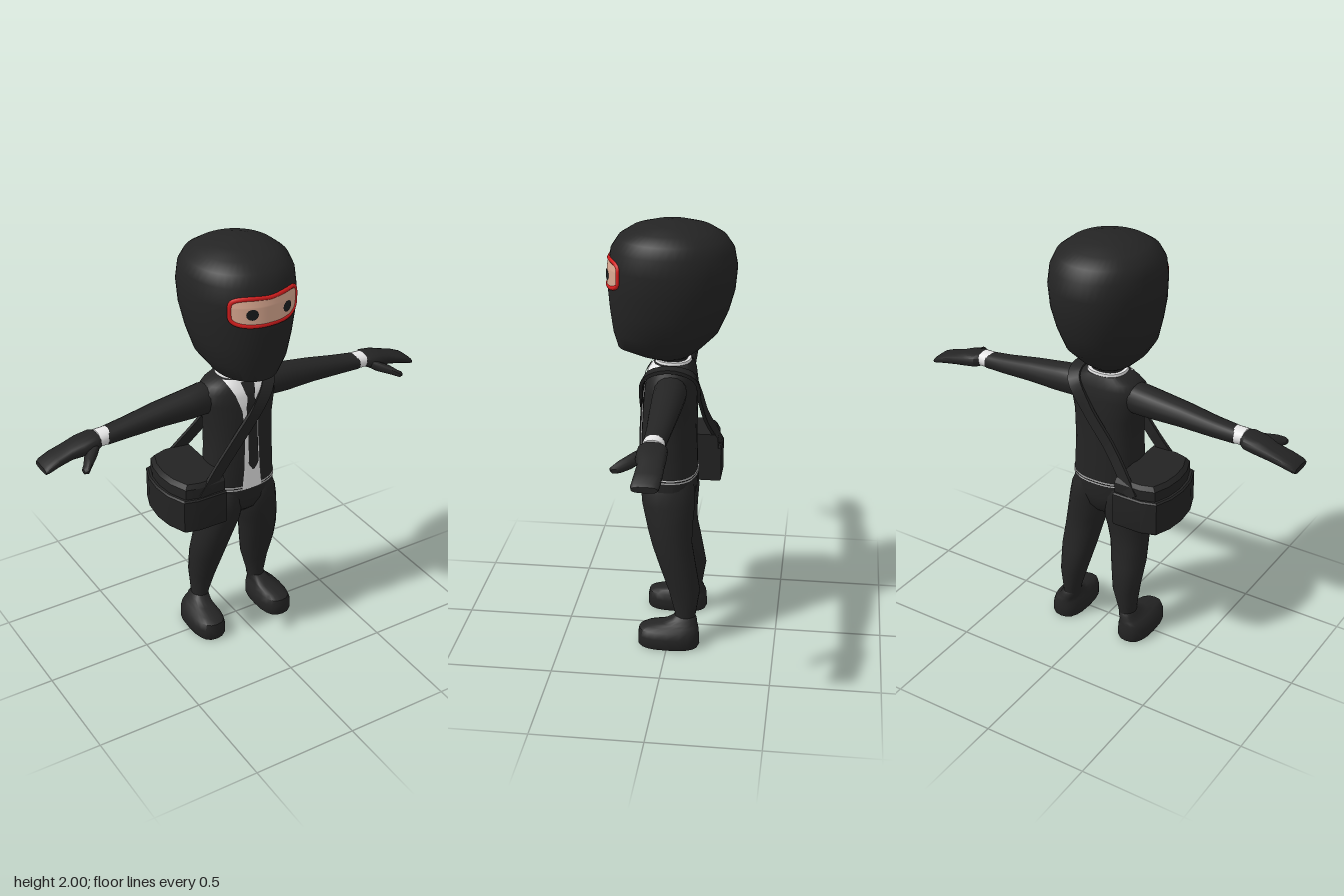
import * as THREE from 'three';
import { toCreasedNormals } from 'three/addons/utils/BufferGeometryUtils.js';

const mat = (name, color) => Object.assign(new THREE.MeshStandardMaterial({ color }), { name });
const V = (x, y, z) => new THREE.Vector3(x, y, z);
const lerp = THREE.MathUtils.lerp;

// Closed skin through a list of equal-length rings, with fan caps; side -1 mirrors it.
function skin(rings, side = 1, crease = 0.75) {
  const n = rings[0].length, pos = [], idx = [];
  const tri = (a, b, c) => (side > 0 ? idx.push(a, b, c) : idx.push(a, c, b));
  const put = p => pos.push(p.x * side, p.y, p.z);
  rings.forEach(r => r.forEach(put));
  for (let i = 0; i < rings.length - 1; i++) for (let j = 0; j < n; j++) {
    const a = i * n + j, b = i * n + (j + 1) % n;
    tri(a, a + n, b);
    tri(b, a + n, b + n);
  }
  [0, rings.length - 1].forEach((r, end) => {
    const c = rings.length * n + end;
    put(rings[r].reduce((s, p) => s.add(p), V(0, 0, 0)).divideScalar(n));
    for (let j = 0; j < n; j++) {
      const a = r * n + j, b = r * n + (j + 1) % n;
      end ? tri(a, c, b) : tri(a, b, c);
    }
  });
  const g = new THREE.BufferGeometry();
  g.setAttribute('position', new THREE.Float32BufferAttribute(pos, 3));
  g.setIndex(idx);
  return toCreasedNormals(g, crease);
}

const pw = (v, e) => Math.sign(v) * Math.abs(v) ** (2 / e);
function outline(count, e, place) {
  return Array.from({ length: count }, (_, j) => {
    const t = j / count * Math.PI * 2;
    return place(pw(Math.cos(t), e), pw(Math.sin(t), e));
  });
}
// Upright sections: [y, centre x, half width, front z, back z]
const loftY = (secs, e = 2.3, side = 1, count = 32) => skin(secs.map(([y, x, a, f, b]) =>
  outline(count, e, (c, s) => V(x + a * c, y, (f + b) / 2 + (f - b) / 2 * s))), side);
// Sideways sections: [x, centre y, half height, front z, back z]
const loftX = (secs, e = 2.2, side = 1, count = 16) => skin(secs.map(([x, y, h, f, b]) =>
  outline(count, e, (c, s) => V(x, y + h * c, (f + b) / 2 - (f - b) / 2 * s))), side);

// Value of a table of rows at y, interpolated
function rowAt(rows, y) {
  let i = 0;
  while (i < rows.length - 2 && y > rows[i + 1][0]) i++;
  const t = THREE.MathUtils.clamp((y - rows[i][0]) / (rows[i + 1][0] - rows[i][0]), 0, 1);
  return rows[i].map((v, k) => lerp(v, rows[i + 1][k], t));
}
// Front surface of an upright loft
function frontZ(secs, e, x, y) {
  const [, cx, a, f, b] = rowAt(secs, y);
  const u = Math.min(1, Math.abs((x - cx) / a));
  return (f + b) / 2 + (f - b) / 2 * (1 - u ** e) ** (1 / e);
}
// Thin sheet lying on a front surface, with half width given by y
function patch(secs, e, y0, y1, half, off, cx = 0) {
  const g = new THREE.PlaneGeometry(1, 1, 24, 36), p = g.attributes.position;
  for (let i = 0; i < p.count; i++) {
    const y = lerp(y0, y1, p.getY(i) + 0.5), x = cx + p.getX(i) * 2 * half(y);
    p.setXYZ(i, x, y, frontZ(secs, e, x, y) + off);
  }
  g.computeVertexNormals();
  return g;
}
// Flat band following a path around the body
function ribbon(points, w, t) {
  const curve = new THREE.CatmullRomCurve3(points.map(p => V(...p)));
  const rings = [];
  for (let i = 0; i <= 48; i++) {
    const p = curve.getPointAt(i / 48), T = curve.getTangentAt(i / 48);
    const W = T.clone().cross(V(0, Math.max(0, p.y - 1.2) * 0.8, p.z)).normalize();
    const N = W.clone().cross(T);
    rings.push([[1, -1], [1, 1], [-1, 1], [-1, -1]].map(([a, b]) =>
      p.clone().addScaledVector(W, a * w).addScaledVector(N, b * t)));
  }
  return skin(rings, 1, 0.6);
}

export function createModel() {
  const root = new THREE.Group();
  const suit = mat('suit black', 0x242424), bagMat = mat('bag black', 0x232323);
  const white = mat('shirt white', 0xf0f0f0), red = mat('rim red', 0xd81e1e);
  const flesh = mat('skin', 0xdcaa92), dark = mat('eye black', 0x1d2022);
  white.side = flesh.side = dark.side = suit.side = THREE.DoubleSide;
  const add = (name, geo, m) => {
    const mesh = new THREE.Mesh(geo, m);
    mesh.name = name;
    root.add(mesh);
  };

  // Hooded head
  const head = [
    [1.375, 0, 0.065, 0.1, -0.06], [1.395, 0, 0.105, 0.16, -0.09], [1.425, 0, 0.138, 0.245, -0.13],
    [1.5, 0, 0.192, 0.265, -0.205], [1.6, 0, 0.22, 0.278, -0.25], [1.7, 0, 0.24, 0.286, -0.278],
    [1.8, 0, 0.247, 0.284, -0.287], [1.88, 0, 0.239, 0.27, -0.272], [1.93, 0, 0.217, 0.237, -0.238],
    [1.965, 0, 0.172, 0.182, -0.18], [1.988, 0, 0.1, 0.1, -0.098], [2, 0, 0.02, 0.02, -0.02]];
  const he = 2.1;
  add('hood', loftY(head, he, 1, 48), suit);

  // Eye opening, rim and eyes
  const ey = 1.779, eh = 0.063, ew = 0.163;
  add('face', patch(head, he, ey - eh, ey + eh,
    y => ew * Math.max(0, 1 - Math.abs((y - ey) / eh) ** 4) ** 0.25, 0.004), flesh);
  const rim = outline(48, 4, (c, s) => {
    const x = c * ew, y = ey + s * eh + (s > 0 ? 0.012 * (Math.abs(c) - 0.7) : 0);
    return V(x, y, frontZ(head, he, x, y) - 0.002);
  });
  add('eyeRim', new THREE.TubeGeometry(new THREE.CatmullRomCurve3(rim, true), 96, 0.011, 6, true), red);
  for (const s of [-1, 1]) {
    const g = new THREE.CircleGeometry(0.025, 16).translate(s * 0.086, 1.772, 0), p = g.attributes.position;
    for (let i = 0; i < p.count; i++) p.setZ(i, frontZ(head, he, p.getX(i), p.getY(i)) + 0.009);
    add('eye', g, dark);
  }

  // Jacket and hips
  const torso = [
    [0.64, 0, 0.07, 0.06, -0.07], [0.68, 0, 0.12, 0.105, -0.1], [0.74, 0, 0.172, 0.132, -0.115],
    [0.82, 0, 0.168, 0.143, -0.118], [1, 0, 0.16, 0.14, -0.112], [1.15, 0, 0.162, 0.132, -0.115],
    [1.25, 0, 0.182, 0.122, -0.115], [1.305, 0, 0.182, 0.11, -0.108], [1.335, 0, 0.155, 0.092, -0.1],
    [1.362, 0, 0.1, 0.075, -0.088]];
  add('jacket', loftY(torso, 2.4), suit);
  add('neck', loftY([[1.33, 0, 0.075, 0.065, -0.07], [1.42, 0, 0.075, 0.065, -0.07]]), suit);
  add('collar', loftY([[1.352, 0, 0.095, 0.078, -0.088], [1.374, 0, 0.09, 0.076, -0.085]]), white);
  for (const y of [0.816, 0.829]) {
    add('shirtHem', loftY([[y, 0, 0.1705, 0.1465, -0.121], [y + 0.005, 0, 0.1705, 0.1465, -0.121]], 2.4), white);
  }

  // Shirt front and tie
  const shirt = [[0.82, 0.052], [0.92, 0.042], [1.1, 0.036], [1.22, 0.042], [1.3, 0.068], [1.36, 0.095]];
  const tie = [[0.92, 0.004], [0.95, 0.026], [1.1, 0.024], [1.24, 0.028], [1.285, 0.016], [1.3, 0.024], [1.35, 0.034]];
  add('shirtFront', patch(torso, 2.4, 0.82, 1.36, y => rowAt(shirt, y)[1], 0.005), white);
  add('tie', patch(torso, 2.4, 0.92, 1.35, y => rowAt(tie, y)[1], 0.011, 0.003), suit);

  for (const s of [-1, 1]) {
    // Arm, cuff and hand
    add('sleeve', loftX([[0.07, 1.266, 0.055, 0.045, -0.065], [0.165, 1.262, 0.071, 0.064, -0.084],
      [0.25, 1.255, 0.066, 0.063, -0.08], [0.4, 1.247, 0.054, 0.055, -0.072],
      [0.55, 1.232, 0.044, 0.046, -0.06], [0.66, 1.224, 0.037, 0.045, -0.052]], 2.2, s), suit);
    add('cuff', loftX([[0.64, 1.226, 0.037, 0.043, -0.05], [0.7, 1.225, 0.036, 0.045, -0.05]], 2.2, s), white);
    add('hand', loftX([[0.69, 1.223, 0.03, 0.04, -0.045], [0.715, 1.22, 0.034, 0.058, -0.068],
      [0.78, 1.21, 0.034, 0.058, -0.07], [0.83, 1.198, 0.028, 0.045, -0.068],
      [0.9, 1.181, 0.023, 0.05, -0.068], [0.95, 1.164, 0.018, 0.054, -0.064],
      [0.963, 1.158, 0.013, 0.05, -0.058]], 2.8, s), suit);
    add('thumb', loftX([[0.71, 1.212, 0.02, 0.05, 0.01], [0.74, 1.2, 0.025, 0.085, 0.02],
      [0.79, 1.186, 0.022, 0.135, 0.06], [0.815, 1.174, 0.016, 0.158, 0.1],
      [0.83, 1.172, 0.01, 0.15, 0.12]], 2.2, s, 10), suit);

    // Leg and shoe
    add('leg', loftY([[0.1, 0.162, 0.036, -0.03, -0.125], [0.16, 0.158, 0.042, -0.03, -0.13],
      [0.27, 0.148, 0.062, 0, -0.148], [0.4, 0.139, 0.082, 0.045, -0.125],
      [0.5, 0.127, 0.088, 0.08, -0.107], [0.57, 0.114, 0.094, 0.1, -0.106], [0.63, 0.1, 0.1, 0.115, -0.11],
      [0.7, 0.093, 0.095, 0.131, -0.116], [0.76, 0.088, 0.088, 0.136, -0.115],
      [0.82, 0.08, 0.07, 0.12, -0.1]], 2.15, s, 20), suit);
    add('shoe', loftY([[0, 0.187, 0.074, 0.135, -0.145], [0.012, 0.187, 0.08, 0.141, -0.15],
      [0.055, 0.187, 0.08, 0.141, -0.148], [0.085, 0.185, 0.07, 0.135, -0.146],
      [0.1, 0.18, 0.056, 0.105, -0.142], [0.11, 0.173, 0.047, 0.03, -0.138],
      [0.128, 0.166, 0.043, -0.012, -0.135], [0.145, 0.16, 0.036, -0.03, -0.125]], 2.6, s, 20), suit);
  }

  // Shoulder bag: curved case with a smaller lid
  const plan = [[-0.155, 0.178], [-0.3, 0.178], [-0.365, 0.16], [-0.4, 0.07], [-0.41, -0.02],
    [-0.4, -0.11], [-0.37, -0.19], [-0.3, -0.212], [-0.155, -0.212]];
  const level = (y, k) => plan.map(([x, z]) => V(-0.155 + (x + 0.155) * k, y, -0.017 + (z + 0.017) * k));
  add('bagCase', skin([level(0.7, 0.98), level(0.71, 1), level(0.86, 1), level(0.867, 0.97)], 1, 0.4), bagMat);
  add('bagLid', skin([level(0.85, 0.93), level(0.915, 0.92), level(0.935, 0.85)], 1, 0.4), bagMat);

  // Strap over the left shoulder
  add('strap', ribbon([[-0.265, 0.86, 0.16], [-0.18, 0.965, 0.148], [-0.08, 1.09, 0.146], [0.03, 1.22, 0.137],
    [0.1, 1.31, 0.108], [0.132, 1.35, 0.05], [0.138, 1.358, -0.03], [0.118, 1.325, -0.105],
    [0.03, 1.2, -0.128], [-0.1, 1.05, -0.146], [-0.2, 0.93, -0.18], [-0.25, 0.865, -0.2]], 0.028, 0.008), bagMat);
  return root;
}
